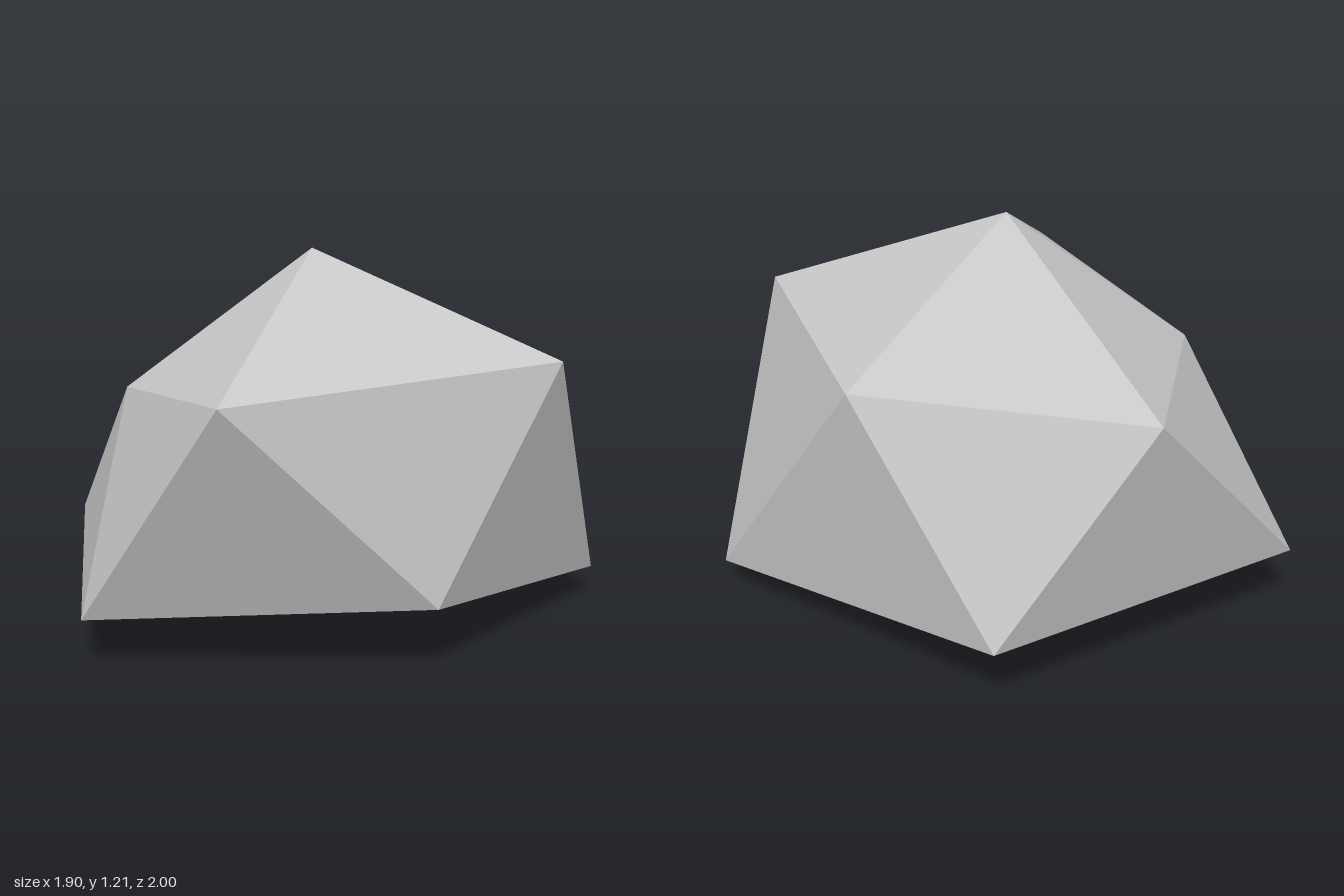
import * as THREE from 'three';

// Irregular boulder: a distorted icosahedron with two staggered five-point rings and two poles
export function createModel() {
  const stone = new THREE.MeshStandardMaterial({ color: 0xc8c8c8 });
  stone.name = 'light grey stone';
  stone.flatShading = true;

  const top = [0.08, 1.214, 0.03];
  const bottom = [0.03, 0, -0.1];
  const upper = [[0.32, 0.837, 1], [0.95, 0.892, 0.003], [0.213, 0.908, -0.897], [-0.68, 0.85, -0.67], [-0.46, 0.75, 0.33]];
  const lower = [[-0.19, 0.148, 0.964], [0.76, 0.195, 0.478], [0.854, 0.086, -0.603], [-0.287, 0.2, -1], [-0.952, 0.208, -0.07]];

  // Cap, zigzag band and underside
  const positions = [];
  const face = (...corners) => corners.forEach((c) => positions.push(...c));
  for (let i = 0; i < 5; i++) {
    const j = (i + 1) % 5;
    face(top, upper[i], upper[j]);
    face(upper[i], lower[i], lower[j]);
    face(upper[i], lower[j], upper[j]);
    face(bottom, lower[j], lower[i]);
  }

  const geometry = new THREE.BufferGeometry();
  geometry.setAttribute('position', new THREE.Float32BufferAttribute(positions, 3));
  geometry.computeVertexNormals();

  const boulder = new THREE.Mesh(geometry, stone);
  boulder.name = 'boulder';
  const group = new THREE.Group();
  group.name = 'rock';
  group.add(boulder);
  return group;
}
